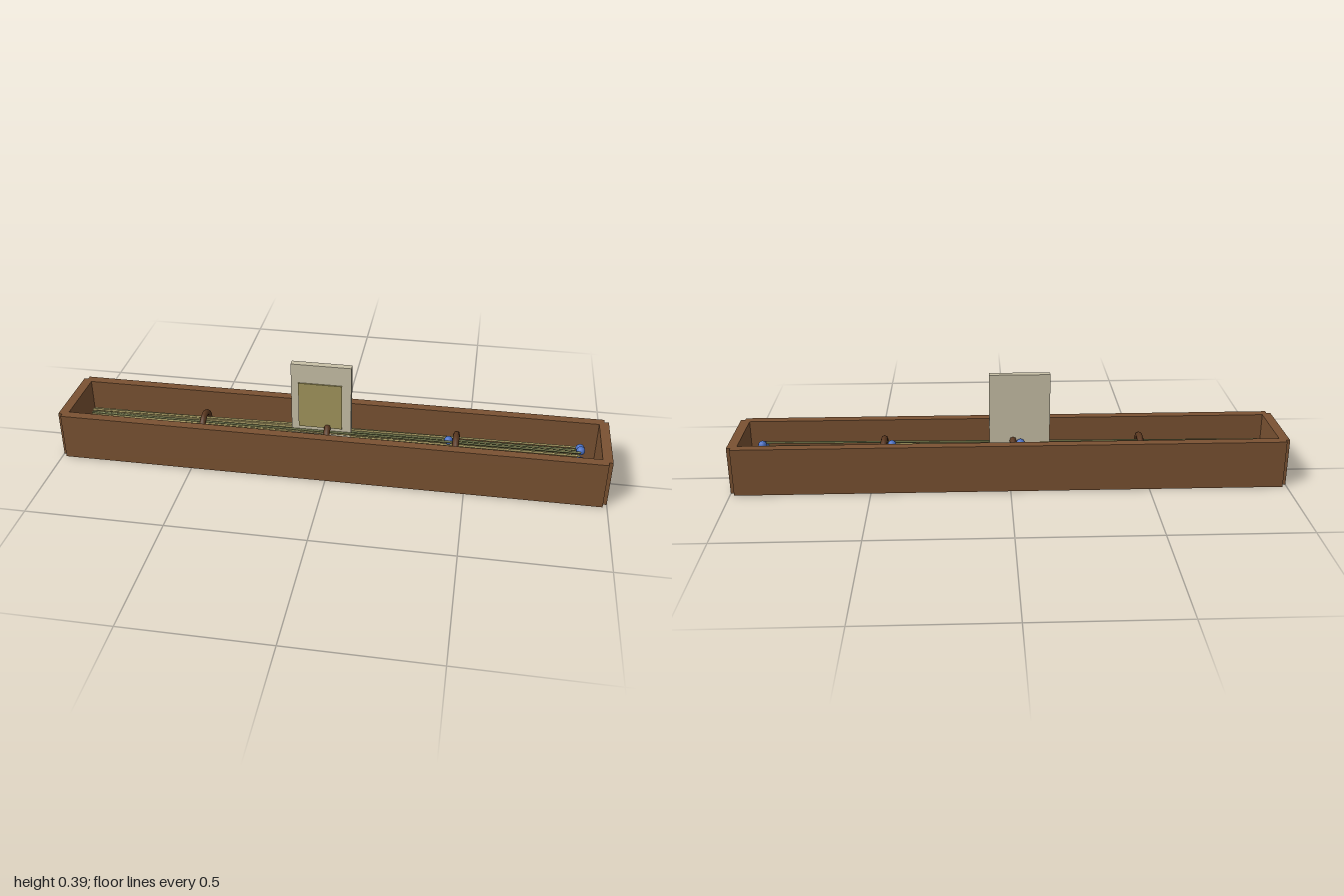
import * as THREE from 'three';

const mat = (name, color) => {
  const m = new THREE.MeshStandardMaterial({ color });
  m.name = name;
  return m;
};

export function createModel() {
  const model = new THREE.Group();
  const wood = mat('wood', 0x7a5232);
  const darkWood = mat('dark binding', 0x59371f);
  const straw = mat('straw', 0xb5a768);
  const green = mat('green straw', 0x7d8250);
  const blue = mat('blue', 0x4a70c4);
  const card = mat('card', 0xc9c1a8);
  const olive = mat('olive', 0xa2965c);

  const add = (name, geometry, material, x, y, z) => {
    const mesh = new THREE.Mesh(geometry, material);
    mesh.name = name;
    mesh.position.set(x, y, z);
    model.add(mesh);
    return mesh;
  };
  const box = (name, material, w, h, d, x, y, z) =>
    add(name, new THREE.BoxGeometry(w, h, d), material, x, y, z);

  // Open trough: floor, two long walls, two end walls set in at the corners
  box('floor', wood, 1.95, 0.024, 0.25, 0, 0.013, 0);
  for (const s of [-1, 1]) {
    box('longWall', wood, 1.97, 0.176, 0.035, 0, 0.088, s * 0.1325);
    box('endWall', wood, 0.035, 0.176, 0.266, s * 0.9825, 0.088, 0);
  }

  // Upright card with a raised panel on its front
  box('card', card, 0.22, 0.394, 0.025, -0.037, 0.197, -0.003);
  box('cardPanel', olive, 0.16, 0.18, 0.005, -0.04, 0.23, 0.012);

  // Rings that bind the bundle
  for (const x of [-0.48, -0.013, 0.457]) {
    const ring = add('bindingRing', new THREE.TorusGeometry(0.053, 0.012, 8, 24), darkWood, x, 0.092, 0);
    ring.rotation.y = Math.PI / 2;
  }

  // Bundle of straws: all start at one end, finish at three lengths, and fan out
  let seed = 7;
  const random = () => (seed = (seed * 16807) % 2147483647) / 2147483647;
  const midY = 0.088;
  const xAxis = new THREE.Vector3(0, 1, 0);
  const pointInDisc = (x, angle, r) =>
    new THREE.Vector3(x, midY + Math.sin(angle) * r, Math.cos(angle) * r);
  const ends = [0.9, 0.43, -0.03];
  for (let i = 0; i < 54; i++) {
    const angle = i * 2.39996;
    const spread = Math.sqrt((i + 0.5) / 54);
    const endX = ends[i % 3];
    const a = pointInDisc(-0.92, angle, 0.036 * spread);
    const b = pointInDisc(endX, angle + (random() - 0.5) * 0.9, (0.04 + 0.006 * (endX + 1)) * spread);
    const dir = b.clone().sub(a);
    const stalk = add('straw', new THREE.CylinderGeometry(0.004, 0.004, dir.length(), 6),
      i % 6 === 3 ? green : straw, 0, 0, 0);
    stalk.position.copy(a).add(b).multiplyScalar(0.5);
    stalk.quaternion.setFromUnitVectors(xAxis, dir.normalize());
  }

  // Blue beads at the straw ends: [x, height, z]
  const beads = [
    [0.9, 0.118, -0.034], [0.9, 0.13, 0], [0.9, 0.112, 0.04], [0.9, 0.07, -0.03], [0.9, 0.06, 0.02],
    [0.43, 0.125, 0.0], [0.43, 0.095, 0.045], [0.43, 0.06, -0.02],
    [-0.04, 0.135, -0.028], [-0.02, 0.12, -0.035], [-0.04, 0.06, 0.02],
  ];
  for (const [x, y, z] of beads) add('bead', new THREE.SphereGeometry(0.016, 12, 8), blue, x, y, z);

  return model;
}
